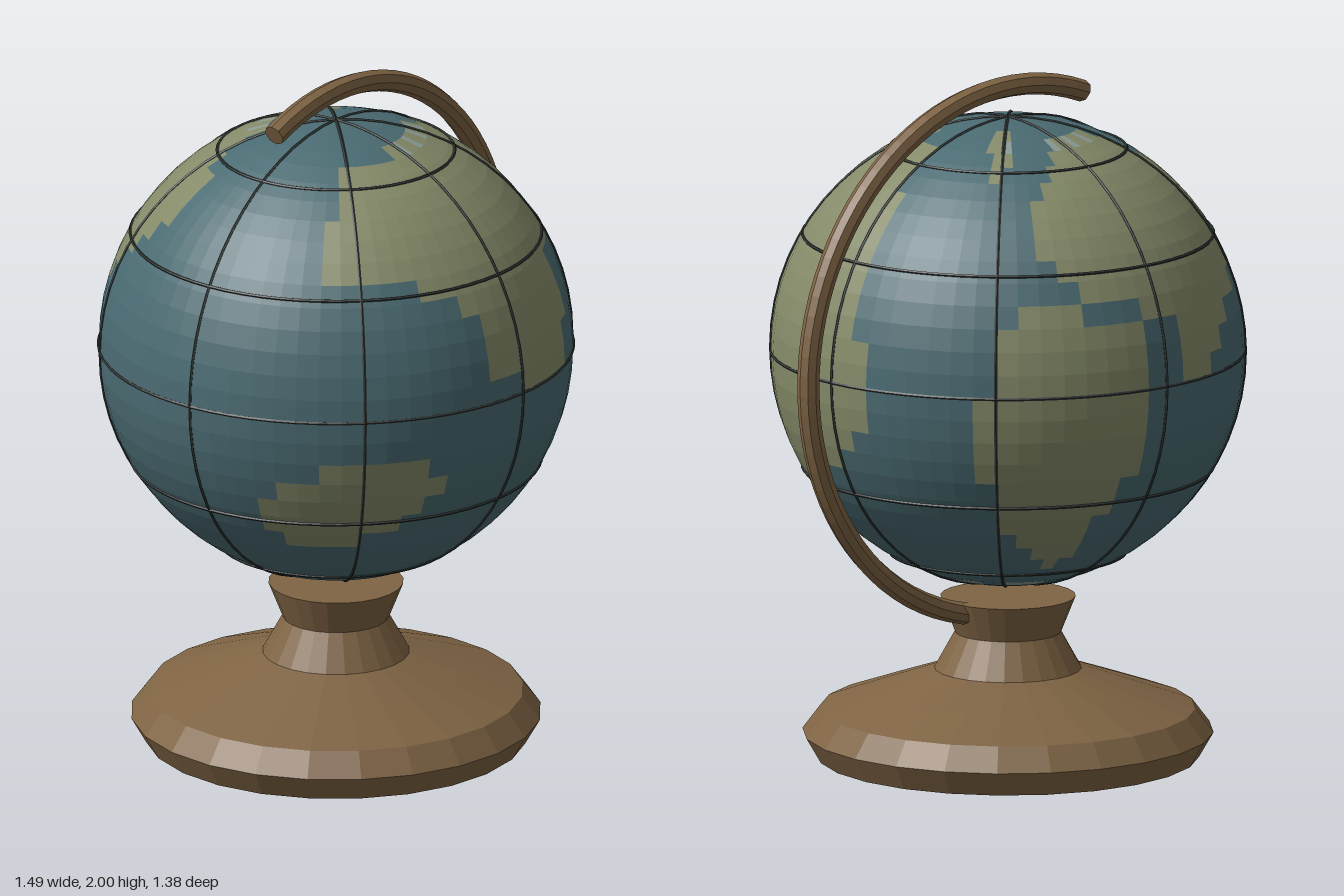
import * as THREE from 'three';

const CENTRE = [-0.06, 1.195, 0], RADIUS = 0.683;
const COLS = 64, ROWS = 32;

function mat(name, color) {
  const m = new THREE.MeshStandardMaterial({ color, flatShading: true });
  m.name = name;
  return m;
}

// Rough coastlines as [column, row]; column 0 faces front, 16 faces +x, row 0 is the north pole
const LANDS = [
  // main continent
  [[-9, 4], [6, 3], [16, 4], [17, 10], [18, 17], [17, 19], [11, 22], [9, 21], [8, 18], [8, 11], [5.2, 11],
    [4, 16], [0, 16], [0, 15], [-2, 15], [-2, 12], [-6, 10], [-10, 10]],
  // front right-hand island
  [[-8, 18], [-5, 18], [-3.8, 20], [-9, 23], [-11, 23], [-13, 21], [-11, 19]],
  // back northern continent
  [[27, 6], [31, 3], [38, 3], [43.5, 7], [41, 11], [34, 16], [33, 16], [33, 13], [29, 12], [26, 9]],
  // back southern continent
  [[25, 12], [31, 13], [30.5, 20], [28, 26], [27, 26], [24, 22], [23, 17]],
  // northern island
  [[22, 2], [25, 2], [25, 5], [23, 6]],
];

function inside(poly, x, y) {
  let hit = false;
  poly.forEach(([ax, ay], i) => {
    const [bx, by] = poly[(i + 1) % poly.length];
    if ((ay > y) !== (by > y) && x < ax + ((y - ay) / (by - ay)) * (bx - ax)) hit = !hit;
  });
  return hit;
}

// 0 = sea, 1 = land, 2 = ice (southern cap and the fringe of the northern coasts)
function surfaceKind(col, row) {
  if (row >= 29 || (row === 28 && (col + COLS) % 8 < 5)) return 2;
  if (!LANDS.some(poly => inside(poly, col + 0.5, row + 0.5))) return 0;
  return row === 3 && col % 3 === 0 ? 2 : 1;
}

// Sphere whose cells are sorted into sea, land and ice groups
function globeGeometry() {
  const geo = new THREE.SphereGeometry(RADIUS, COLS, ROWS);
  const src = geo.index.array, sorted = [[], [], []];
  let k = 0;
  for (let row = 0; row < ROWS; row++) {
    const count = row === 0 || row === ROWS - 1 ? 3 : 6;
    for (let i = 0; i < COLS; i++) {
      const kind = surfaceKind(i - COLS / 4, row);
      for (let n = 0; n < count; n++) sorted[kind].push(src[k++]);
    }
  }
  geo.setIndex(sorted.flat());
  let start = 0;
  sorted.forEach((list, kind) => {
    geo.addGroup(start, list.length, kind);
    start += list.length;
  });
  return geo;
}

export function createModel() {
  const sea = mat('sea', 0x4a6b72), land = mat('land', 0x858b69), ice = mat('ice', 0x8a9b94);
  const wood = mat('wood', 0x7f6444), line = mat('gridLine', 0x2f3534);

  const model = new THREE.Group();
  model.name = 'deskGlobe';
  const add = (parent, name, geo, material) => {
    const mesh = new THREE.Mesh(geo, material);
    mesh.name = name;
    parent.add(mesh);
    return mesh;
  };

  // Turned stand
  const profile = [[0, 0], [0.55, 0], [0.592, 0.073], [0.54, 0.142], [0.37, 0.203], [0.212, 0.258],
    [0.153, 0.365], [0.195, 0.47], [0, 0.47]].map(([r, y]) => new THREE.Vector2(r, y));
  add(model, 'stand', new THREE.LatheGeometry(profile, 24), wood).position.x = CENTRE[0];

  // Ball with its continents
  const globe = new THREE.Group();
  globe.name = 'globe';
  globe.position.set(...CENTRE);
  model.add(globe);
  add(globe, 'ball', globeGeometry(), [sea, land, ice]);

  // Raised grid lines
  const ring = r => new THREE.TorusGeometry(r, 0.005, 5, 64);
  for (let i = 0; i < 4; i++) add(globe, 'meridian', ring(RADIUS).rotateY(i * Math.PI / 4), line);
  for (let i = -2; i <= 2; i++) {
    const lat = i * Math.PI / 6;
    add(globe, 'parallel', ring(RADIUS * Math.cos(lat)).rotateX(Math.PI / 2), line)
      .position.y = RADIUS * Math.sin(lat);
  }

  // Curved arm from the stand to above the ball
  const arm = new THREE.Group(), R = 0.773, tube = 0.032, arc = THREE.MathUtils.degToRad(202);
  arm.name = 'arm';
  arm.position.set(...CENTRE);
  arm.rotation.z = -Math.PI / 2;
  model.add(arm);
  add(arm, 'armBar', new THREE.TorusGeometry(R, tube, 8, 48, arc), wood);
  add(arm, 'armTip', new THREE.CircleGeometry(tube, 8).rotateX(-Math.PI / 2).translate(R, 0, 0).rotateZ(arc), wood);

  return model;
}
